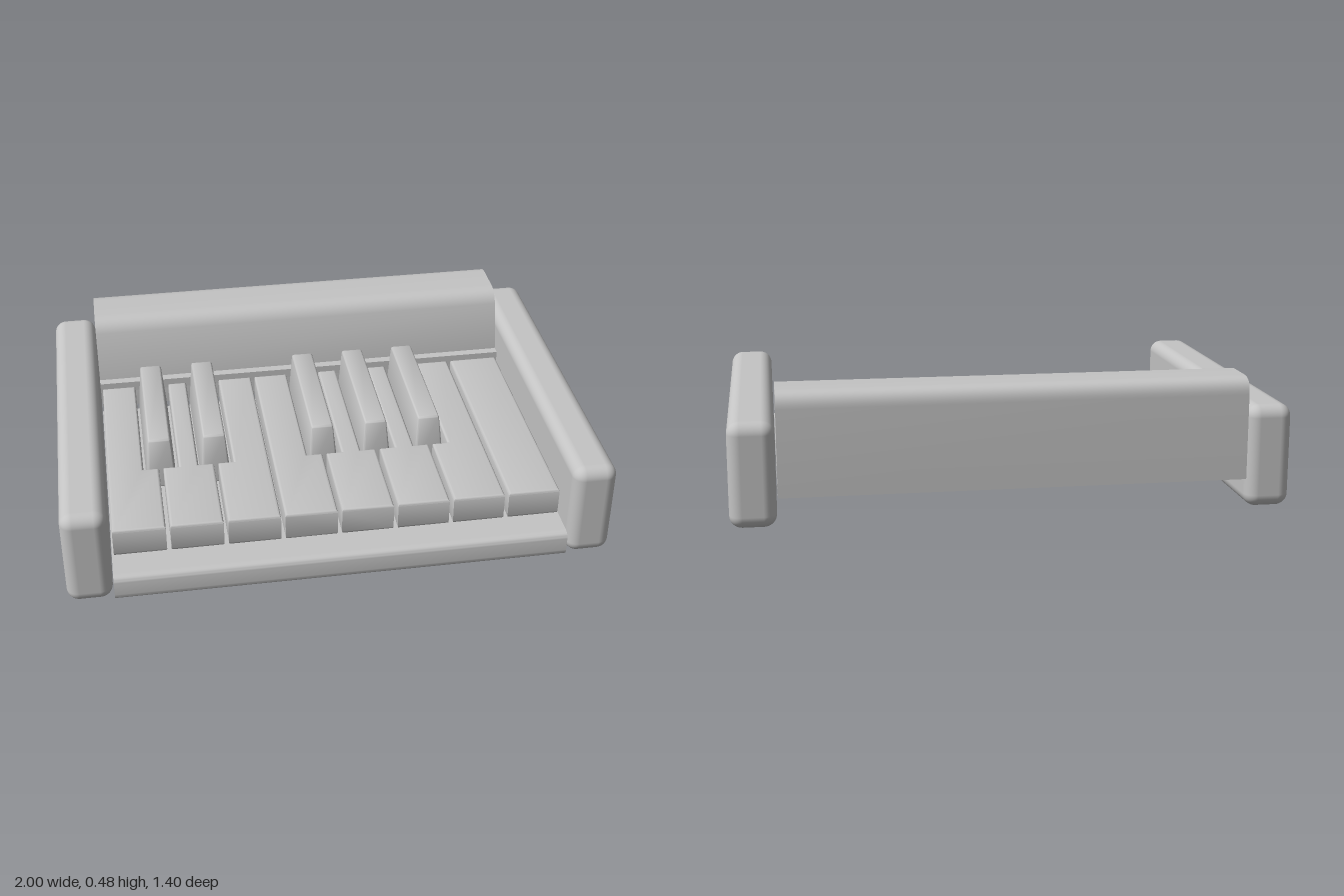
import * as THREE from 'three';
import { toCreasedNormals } from 'three/addons/utils/BufferGeometryUtils.js';
import { RoundedBoxGeometry } from 'three/addons/geometries/RoundedBoxGeometry.js';

const HALF = 0.832;            // half width between the side cheeks
const KEYS = 8;
const PITCH = (2 * HALF) / KEYS;
const KEY_BACK = -0.365, KEY_FRONT = 0.585, NOTCH_FRONT = 0.22;
const SHARP_AT = [1, 2, 4, 5, 6]; // key boundaries that carry a raised key

// Extrudes a (-z, y) profile across the width of the body
function extrudeAcross(shape) {
  const geo = new THREE.ExtrudeGeometry(shape, { depth: 2 * HALF, bevelEnabled: false, curveSegments: 8 });
  geo.rotateY(Math.PI / 2).translate(-HALF, 0, 0);
  return toCreasedNormals(geo, 0.5);
}

// Flat key with cut-outs beside the raised keys and softened edges
function naturalKeyGeometry(i) {
  const left = -HALF + i * PITCH, right = left + PITCH;
  const gap = 0.008, cut = 0.067, bevel = 0.01;
  const pts = [[left + gap, KEY_FRONT], [right - gap, KEY_FRONT]];
  if (SHARP_AT.includes(i + 1)) {
    pts.push([right - gap, NOTCH_FRONT], [right - cut, NOTCH_FRONT], [right - cut, KEY_BACK]);
  } else pts.push([right - gap, KEY_BACK]);
  if (SHARP_AT.includes(i)) {
    pts.push([left + cut, KEY_BACK], [left + cut, NOTCH_FRONT], [left + gap, NOTCH_FRONT]);
  } else pts.push([left + gap, KEY_BACK]);
  const shape = new THREE.Shape(pts.map(([x, z]) => new THREE.Vector2(x, -z)));
  const geo = new THREE.ExtrudeGeometry(shape, {
    depth: 0.11 - 2 * bevel, bevelSize: bevel, bevelThickness: bevel, bevelOffset: -bevel, bevelSegments: 3,
  });
  geo.rotateX(-Math.PI / 2).translate(0, 0.11 + bevel, 0);
  return toCreasedNormals(geo, 0.6);
}

// Raised key: rounded box narrowed towards the top, with a sloping front
function sharpKeyGeometry() {
  const h = 0.19, d = 0.58;
  const geo = new RoundedBoxGeometry(0.116, h, d, 3, 0.01);
  const p = geo.attributes.position;
  for (let i = 0; i < p.count; i++) {
    const t = p.getY(i) / h + 0.5;
    p.setX(i, p.getX(i) * (1 - 0.28 * t));
    if (p.getZ(i) > 0) p.setZ(i, p.getZ(i) - 0.04 * t);
  }
  return toCreasedNormals(geo, 0.6);
}

export function createModel() {
  const model = new THREE.Group();
  model.name = 'keyboard';
  const grey = new THREE.MeshStandardMaterial({ color: 0xc4c4c4 });
  grey.name = 'light grey';
  const add = (name, geo, x = 0, y = 0, z = 0) => {
    const mesh = new THREE.Mesh(geo, grey);
    mesh.name = name;
    mesh.position.set(x, y, z);
    model.add(mesh);
  };

  // Side cheeks
  for (const [name, s] of [['leftCheek', 1], ['rightCheek', -1]]) {
    add(name, new RoundedBoxGeometry(0.164, 0.376, 1.4, 5, 0.045), s * 0.918, 0.188, 0);
  }

  // Rear panel with sloping face and rounded top
  const panel = new THREE.Shape();
  panel.moveTo(0.7, 0.11);
  panel.lineTo(0.7, 0.42);
  panel.quadraticCurveTo(0.7, 0.48, 0.64, 0.48);
  panel.lineTo(0.52, 0.48);
  panel.quadraticCurveTo(0.466, 0.48, 0.448, 0.43);
  panel.lineTo(0.4, 0.25);
  panel.lineTo(0.4, 0.11);
  panel.closePath();
  add('rearPanel', extrudeAcross(panel));

  // Narrow ledge behind the keys
  add('rearLedge', new THREE.BoxGeometry(2 * HALF, 0.04, 0.034), 0, 0.22, -0.384);

  // Front rail with rounded nose
  const rail = new THREE.Shape();
  rail.moveTo(-0.5, 0);
  rail.lineTo(-0.5, 0.1);
  rail.lineTo(-0.67, 0.1);
  rail.quadraticCurveTo(-0.7, 0.1, -0.7, 0.07);
  rail.lineTo(-0.7, 0.025);
  rail.quadraticCurveTo(-0.7, 0, -0.675, 0);
  rail.closePath();
  add('frontRail', extrudeAcross(rail));

  // Key bed
  add('keyBed', new THREE.BoxGeometry(2 * HALF, 0.06, 0.88), 0, 0.07, 0.06);

  // Keys
  for (let i = 0; i < KEYS; i++) add('naturalKey' + (i + 1), naturalKeyGeometry(i));
  const sharp = sharpKeyGeometry();
  SHARP_AT.forEach((k, i) => add('raisedKey' + (i + 1), sharp, -HALF + k * PITCH, 0.215, -0.08));

  return model;
}
